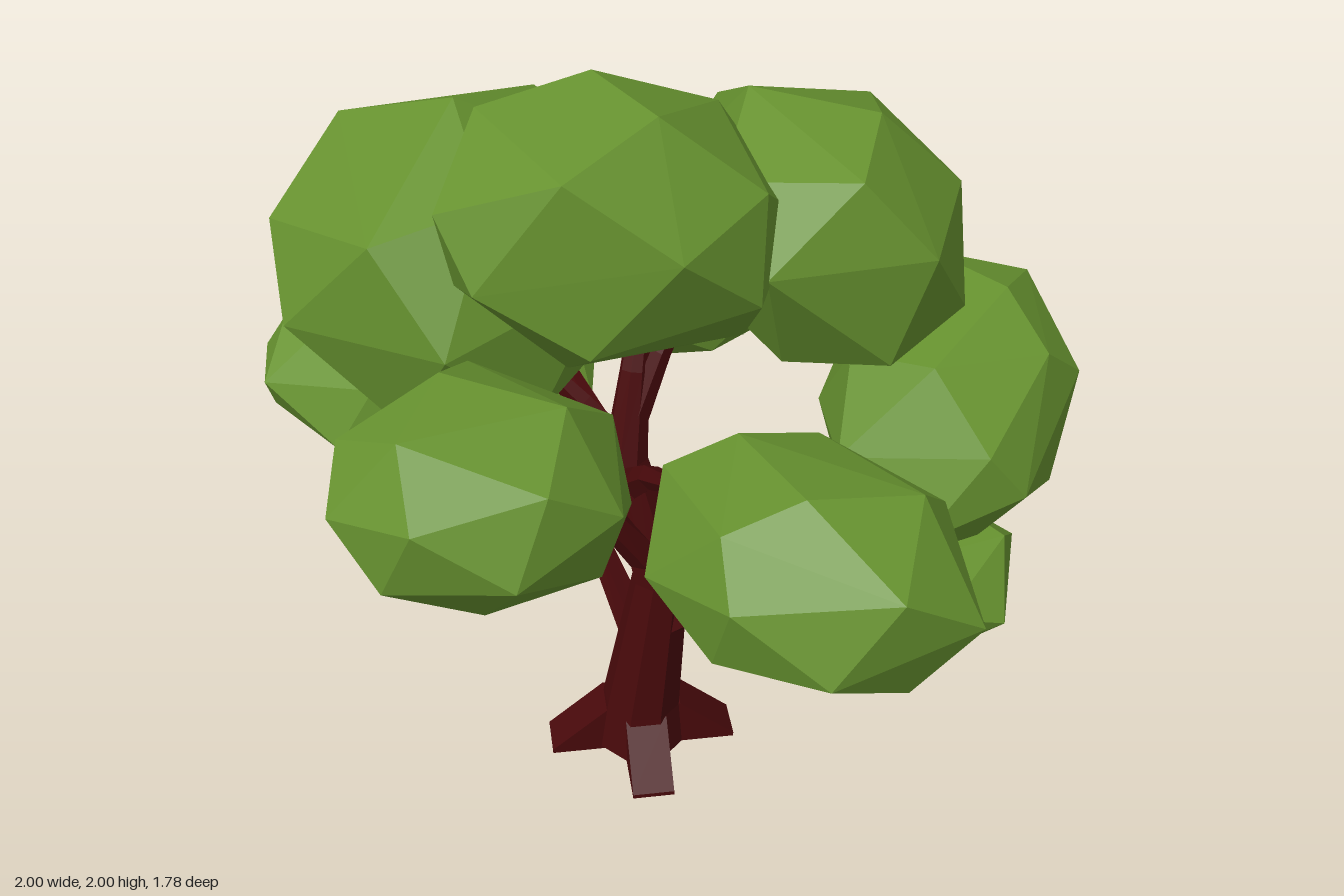
import * as THREE from 'three';
import { ConvexGeometry } from 'three/addons/geometries/ConvexGeometry.js';

const bark = new THREE.MeshStandardMaterial({ color: 0x48090b, flatShading: true });
bark.name = 'bark';
const leaf = new THREE.MeshStandardMaterial({ color: 0x66912f, flatShading: true });
leaf.name = 'leaf';

function seeded(seed) {
  let s = seed * 7919 + 17;
  return () => (s = (s * 16807) % 2147483647) / 2147483647;
}

// Faceted convex clump that fills the box lo..hi; the shears lean it
function clump(seed, lo, hi, { xy = 0, yx = 0, yz = 0, zx = 0 } = {}) {
  const rnd = seeded(seed);
  rnd(); rnd();
  const count = 22, pts = [], turn = rnd() * 6;
  for (let i = 0; i < count; i++) {
    const y = 1 - (2 * i + 1) / count + (rnd() - 0.5) * 0.08;
    const a = turn + i * 2.39996 + (rnd() - 0.5) * 0.4;
    const r = Math.sqrt(Math.max(0, 1 - y * y));
    const x = r * Math.cos(a), z = r * Math.sin(a);
    pts.push(new THREE.Vector3(x + xy * y, y + yx * x + yz * z, z + zx * x));
  }
  const box = new THREE.Box3().setFromPoints(pts);
  const size = box.getSize(new THREE.Vector3());
  const a = new THREE.Vector3(...lo), span = new THREE.Vector3(...hi).sub(a);
  pts.forEach(p => p.sub(box.min).divide(size).multiply(span).add(a));
  return new ConvexGeometry(pts);
}

// Tapered limb: rings of `sides` corners swept along [x, y, z, radius] stops
function limb(stops, sides = 6) {
  const p = stops.map(s => new THREE.Vector3(s[0], s[1], s[2]));
  const up = new THREE.Vector3(0, 1, 0), pos = [], idx = [], last = p.length - 1;
  p.forEach((c, i) => {
    const dir = p[Math.min(i + 1, last)].clone().sub(p[Math.max(i - 1, 0)]).normalize();
    const q = new THREE.Quaternion().setFromUnitVectors(up, dir);
    for (let j = 0; j < sides; j++) {
      const t = (j / sides) * Math.PI * 2;
      const v = new THREE.Vector3(Math.cos(t), 0, Math.sin(t)).multiplyScalar(stops[i][3]);
      pos.push(...v.applyQuaternion(q).add(c).toArray());
    }
  });
  for (let i = 0; i < last; i++) {
    for (let j = 0; j < sides; j++) {
      const a = i * sides + j, b = i * sides + (j + 1) % sides;
      idx.push(a, a + sides, b, b, a + sides, b + sides);
    }
  }
  // End caps
  for (let j = 1; j < sides - 1; j++) {
    const e = last * sides;
    idx.push(0, j, j + 1, e, e + j + 1, e + j);
  }
  const g = new THREE.BufferGeometry();
  g.setAttribute('position', new THREE.Float32BufferAttribute(pos, 3));
  g.setIndex(idx);
  const flat = g.toNonIndexed();
  flat.computeVertexNormals();
  return flat;
}

export function createModel() {
  const tree = new THREE.Group();
  tree.name = 'tree';
  const add = (name, geometry, material, parent) => {
    const mesh = new THREE.Mesh(geometry, material);
    mesh.name = name;
    parent.add(mesh);
    return mesh;
  };

  // Trunk with its bend and thin leader
  const wood = new THREE.Group();
  wood.name = 'wood';
  tree.add(wood);
  add('trunk', limb([
    [0, 0.01, 0.015, 0.12], [0.005, 0.15, 0.015, 0.105], [0.055, 0.58, 0.012, 0.074],
    [-0.04, 0.92, 0, 0.058], [-0.03, 1.15, -0.05, 0.036], [-0.03, 1.42, -0.18, 0.022],
  ], 8), bark, wood);

  // Flared roots: four wedges around the foot
  const wedge = new THREE.Shape([[0, 0], [0.25, 0], [0.25, 0.012], [0.1, 0.14], [0, 0.14]]
    .map(([x, y]) => new THREE.Vector2(x, y)));
  const rootGeometry = new THREE.ExtrudeGeometry(wedge, { depth: 0.11, bevelEnabled: false });
  rootGeometry.translate(0, 0, -0.055);
  for (let i = 0; i < 4; i++) {
    add('root', rootGeometry, bark, wood).rotation.y = 0.4 + i * Math.PI / 2;
  }

  // Branches
  const branches = {
    lowRightBranch: [[0, 0.32, -0.01, 0.05], [-0.13, 0.54, -0.09, 0.034], [-0.3, 0.59, -0.22, 0.028], [-0.46, 0.75, -0.33, 0.02]],
    lowLeftBranch: [[0.05, 0.42, 0.02, 0.05], [0.26, 0.59, 0.05, 0.03], [0.52, 0.68, 0.09, 0.02]],
    middleLeftBranch: [[0.25, 0.57, 0.05, 0.03], [0.37, 0.86, 0.03, 0.022], [0.48, 1.06, 0.01, 0.016]],
    frontBranch: [[0.03, 0.64, 0.03, 0.05], [-0.07, 0.85, 0.13, 0.035], [-0.16, 1.05, 0.4, 0.02]],
    rightBranch: [[-0.02, 0.82, 0, 0.045], [-0.14, 0.92, -0.12, 0.034], [-0.29, 0.98, -0.3, 0.02]],
    leftBranch: [[-0.03, 0.84, 0, 0.045], [0.05, 0.95, 0.1, 0.032], [0.15, 1.04, 0.24, 0.02]],
    upperLeftBranch: [[-0.03, 1.0, -0.01, 0.035], [0.03, 1.2, -0.07, 0.026], [0.1, 1.38, -0.14, 0.018]],
    upperRightBranch: [[-0.04, 0.95, 0, 0.04], [-0.15, 1.06, -0.01, 0.028], [-0.3, 1.19, -0.02, 0.018]],
  };
  for (const [name, stops] of Object.entries(branches)) add(name, limb(stops, 5), bark, wood);

  // Foliage clumps: name, low corner, high corner, lean
  const crown = new THREE.Group();
  crown.name = 'crown';
  tree.add(crown);
  [
    ['topFoliage', [-0.35, 1.36, -0.15], [0.35, 2.0, 0.57], { zx: -0.15, yz: 0.12, xy: -0.12 }],
    ['upperRightFoliage', [-0.88, 1.0, -0.56], [-0.03, 1.8, 0.4], { yx: -0.15, xy: 0.1 }],
    ['upperLeftFoliage', [0.02, 1.2, -0.63], [0.73, 1.88, 0.28], { zx: 0.2, yz: 0.25, yx: -0.1 }],
    ['backFoliage', [-0.38, 0.97, -0.89], [0.28, 1.4, -0.25], { zx: -0.35, yx: -0.2 }],
    ['rightFoliage', [-1, 0.89, -0.38], [-0.34, 1.29, 0.3]],
    ['leftFoliage', [0.42, 0.92, -0.47], [1, 1.46, 0.31], { yz: -0.25 }],
    ['frontRightFoliage', [-0.5, 0.98, 0.28], [0.14, 1.45, 0.89]],
    ['frontLeftFoliage', [0.15, 0.86, 0.22], [0.88, 1.35, 0.83], { zx: 0.2 }],
    ['lowRightFoliage', [-0.79, 0.62, -0.6], [-0.22, 0.99, -0.08], { yx: 0.45, zx: -0.1 }],
    ['lowLeftFoliage', [0.38, 0.63, -0.13], [0.92, 0.99, 0.39], { yx: 0.2 }],
  ].forEach(([name, lo, hi, lean], i) => add(name, clump(i + 3, lo, hi, lean), leaf, crown));

  return tree;
}
